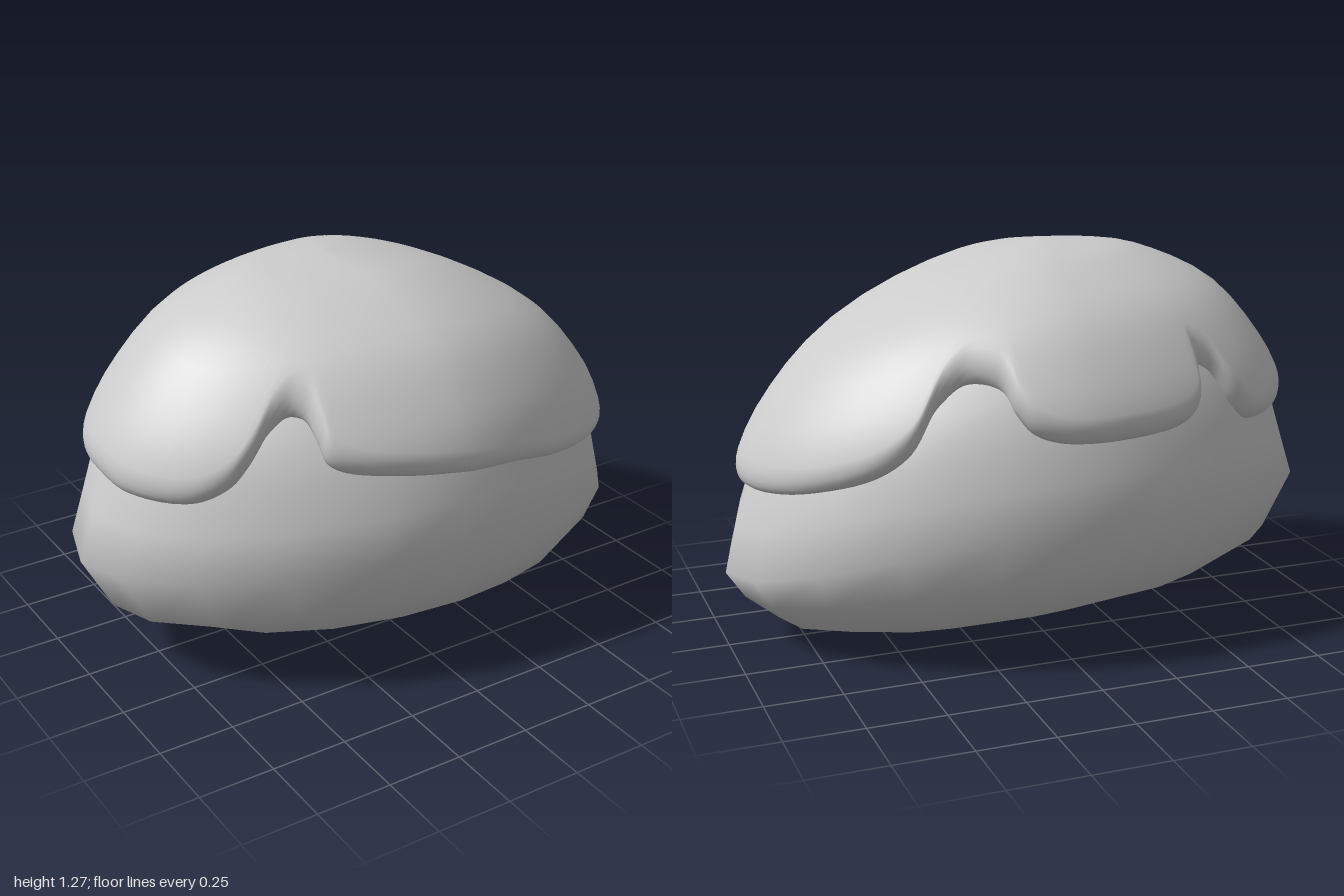
import * as THREE from 'three';
import { mergeVertices } from 'three/addons/utils/BufferGeometryUtils.js';

// Levels of the bun, bottom to top: [left x, left y, right x, right y, half depth, side y]
const LEVELS = [
  [0.05, 0.05, 0.05, 0.05, 0, 0.05],
  [-0.4, 0.09, 0.53, 0, 0.33, 0.09],
  [-0.67, 0.125, 0.83, 0.07, 0.54, 0.2],
  [-0.9, 0.23, 0.94, 0.16, 0.625, 0.33],
  [-1, 0.42, 1, 0.25, 0.667, 0.5],
  [-0.95, 0.57, 0.96, 0.41, 0.65, 0.64],
  [-0.91, 0.7, 0.92, 0.53, 0.62, 0.77],
  [-0.83, 0.87, 0.84, 0.71, 0.57, 0.9],
  [-0.66, 1.065, 0.66, 0.92, 0.45, 1.06],
  [-0.42, 1.18, 0.36, 1.1, 0.25, 1.17],
  [-0.25, 1.207, 0.1, 1.185, 0.1, 1.205],
  [-0.09, 1.214, -0.09, 1.214, 0, 1.214],
];
const TOP = LEVELS.length - 1;

// Lower rim of the icing: [degrees around, height], with three notches
const RIM = [
  [0, 0.54], [20, 0.54], [40, 0.58], [60, 0.64], [75, 0.7], [90, 0.73], [105, 0.76], [116, 0.79],
  [120, 0.82], [122.5, 0.88], [126, 0.94], [130, 0.95], [133.5, 0.91], [136.5, 0.82], [140, 0.75],
  [147, 0.7], [165, 0.69], [180, 0.71], [200, 0.7], [215, 0.7], [224, 0.72], [228, 0.79], [231, 0.89],
  [235, 0.92], [238, 0.86], [241, 0.79], [246, 0.76], [260, 0.75], [276, 0.76], [282, 0.79],
  [286, 0.85], [290, 0.92], [298, 0.93], [303, 0.87], [307, 0.73], [314, 0.65], [330, 0.58],
  [345, 0.55], [360, 0.54],
];

function levelAt(t) {
  const i = Math.min(Math.floor(t), TOP - 1), f = t - i;
  const row = (k) => LEVELS[Math.max(0, Math.min(TOP, k))];
  return LEVELS[0].map((_, c) => {
    const [p, q, r, s] = [row(i - 1)[c], row(i)[c], row(i + 1)[c], row(i + 2)[c]];
    return q + 0.5 * f * (r - p + f * (2 * p - 5 * q + 4 * r - s + f * (3 * (q - r) + s - p)));
  });
}

// Point on the bun at angle a and level t
function bunPoint(a, t) {
  const [xl, yl, xr, yr, w, ys] = levelAt(t);
  const c = Math.cos(a), s = Math.sin(a), pinch = (v) => Math.sign(v) * Math.abs(v) ** 1.11;
  return new THREE.Vector3(
    (xl + xr) / 2 + pinch(c) * (xr - xl) / 2,
    (c > 0 ? yr : yl) * c * c + ys * s * s,
    pinch(s) * w
  );
}

// Push a point out along the rounded surface
function pushOut(p, d) {
  const n = new THREE.Vector3(p.x, (p.y - 0.55) / 0.38, p.z / 0.45).normalize();
  return p.addScaledVector(n, d);
}

// Closed skin over columns of points that run upwards
function skin(name, columns, material) {
  const rows = columns[0].length, index = [];
  columns.forEach((_, i) => {
    for (let j = 0; j < rows - 1; j++) {
      const a = i * rows + j, b = ((i + 1) % columns.length) * rows + j;
      index.push(a, a + 1, b, a + 1, b + 1, b);
    }
  });
  let geometry = new THREE.BufferGeometry().setFromPoints(columns.flat());
  geometry.setIndex(index);
  geometry = mergeVertices(geometry, 1e-5);
  geometry.computeVertexNormals();
  const mesh = new THREE.Mesh(geometry, material);
  mesh.name = name;
  return mesh;
}

export function createModel() {
  const group = new THREE.Group();
  group.name = 'icedBun';
  const material = new THREE.MeshStandardMaterial({ color: 0xcccccc, side: THREE.DoubleSide });

  // Bun: coarse rounded loaf
  const SIDES = 20;
  const bunColumns = Array.from({ length: SIDES }, (_, i) =>
    LEVELS.map((_, t) => bunPoint((i / SIDES) * Math.PI * 2, t)));
  group.add(skin('bun', bunColumns, material));

  // Icing: thick coat with a rolled, dripping rim
  const rim = new THREE.CatmullRomCurve3(RIM.map(([d, y]) => new THREE.Vector3(d / 90, y, 0)));
  const COUNT = (RIM.length - 1) * 6, THICK = 0.052, ROLL = 0.5;
  const icingColumns = Array.from({ length: COUNT }, (_, i) => {
    const r = rim.getPoint(i / COUNT), a = r.x * Math.PI / 2;
    let lo = 3, hi = TOP;
    for (let k = 0; k < 30; k++) {
      const mid = (lo + hi) / 2;
      if (bunPoint(a, mid).y < r.y) lo = mid; else hi = mid;
    }
    const span = TOP - lo;
    const column = [pushOut(bunPoint(a, lo + 0.15), -0.03)];
    for (let k = 0; k <= 6; k++) {
      const q = (k / 6) * Math.PI / 2;
      column.push(pushOut(bunPoint(a, lo + ROLL * (1 - Math.cos(q))), -0.01 + (THICK + 0.01) * Math.sin(q)));
    }
    for (let k = 1; k <= 16; k++) {
      column.push(pushOut(bunPoint(a, lo + ROLL + (span - ROLL) * (k / 16)), THICK));
    }
    return column;
  });
  group.add(skin('icing', icingColumns, material));
  return group;
}
